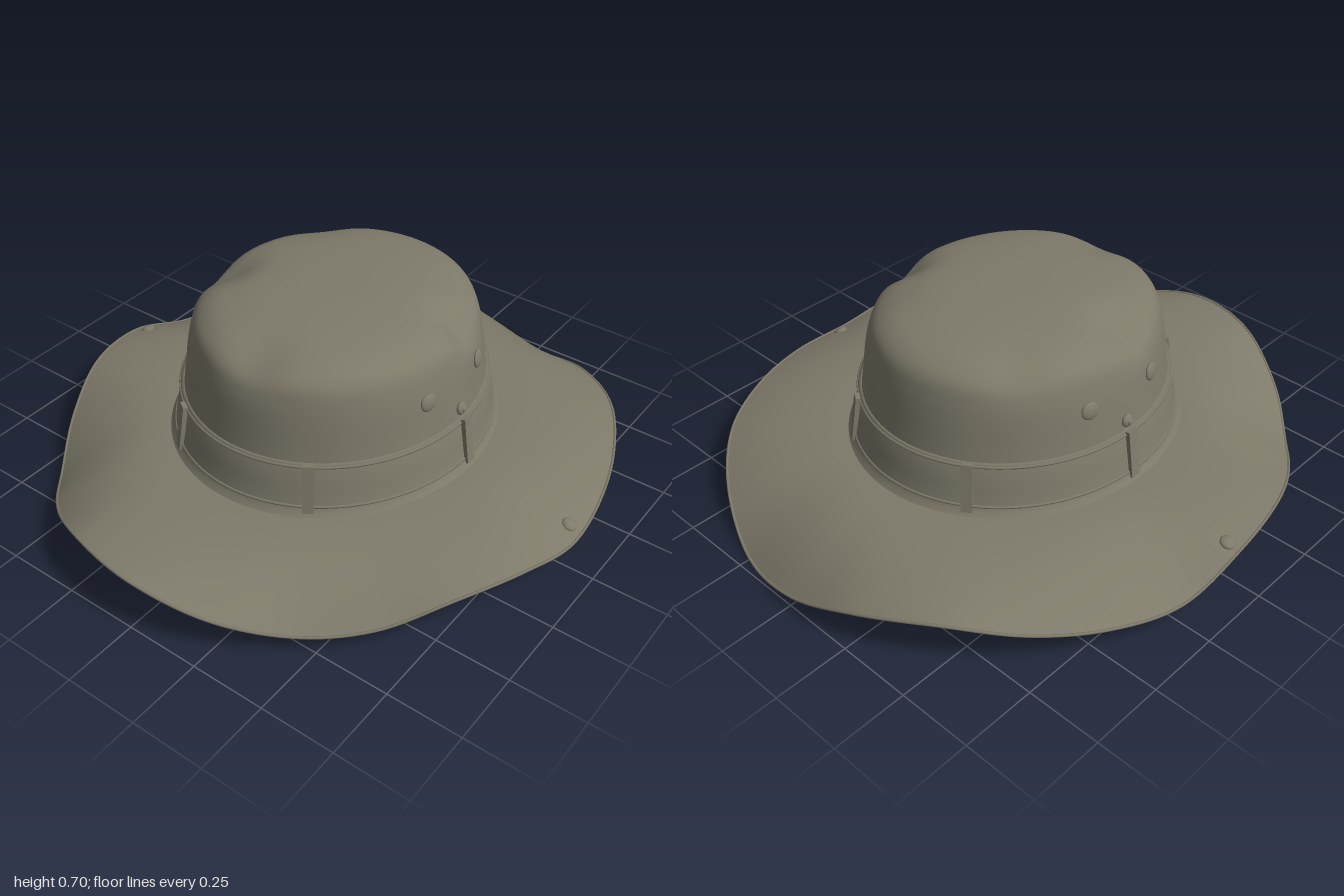
import * as THREE from 'three';

const SEG = 144;
const CENTER_Z = -0.015;
const rad = THREE.MathUtils.degToRad;

// Smooth closed surface through a list of rings (top to bottom, or inside to outside)
function loft(rings) {
  const pos = [], index = [];
  for (const ring of rings) for (const p of ring) pos.push(p.x, p.y, p.z);
  for (let i = 0; i < rings.length - 1; i++) {
    for (let j = 0; j < SEG; j++) {
      const k = (j + 1) % SEG;
      const a = i * SEG + j, b = i * SEG + k;
      index.push(a, b, a + SEG, b, b + SEG, a + SEG);
    }
  }
  const geo = new THREE.BufferGeometry();
  geo.setAttribute('position', new THREE.Float32BufferAttribute(pos, 3));
  geo.setIndex(index);
  geo.computeVertexNormals();
  return geo;
}

const makeRing = (fn) => Array.from({ length: SEG }, (_, j) => fn((j / SEG) * Math.PI * 2, j / SEG));

// Point on the tapering oval side of the crown
function wall(a, y, offset = 0) {
  const rx = 0.5 - (y - 0.21) * 0.13 + offset;
  const rz = 0.55 - (y - 0.21) * 0.155 + offset;
  return new THREE.Vector3(rx * Math.cos(a), y, CENTER_Z + rz * Math.sin(a));
}

// Wavy brim edge: radius and height every 15 degrees, from left (+x) through the front (+z)
const EDGE_R = [0.92, 0.91, 0.89, 0.885, 0.905, 0.96, 0.99, 0.98, 0.955, 0.92, 0.91, 0.915,
  0.92, 0.925, 0.94, 0.965, 0.99, 1.0, 1.0, 0.995, 0.985, 0.97, 0.94, 0.925];
const EDGE_Y = [0.11, 0.15, 0.135, 0.075, 0.07, 0.13, 0.19, 0.185, 0.1, 0.045, 0.1, 0.16,
  0.15, 0.075, 0.09, 0.13, 0.17, 0.13, 0.045, 0.012, 0.09, 0.135, 0.145, 0.13];
const edgeCurve = new THREE.CatmullRomCurve3(EDGE_R.map((r, i) => {
  const a = rad(i * 15);
  return new THREE.Vector3(r * Math.cos(a), EDGE_Y[i], r * Math.sin(a));
}), true, 'catmullrom', 0.5);

// Point on the brim, t = 0 at the crown and 1 at the edge
function brimPoint(a, u, t) {
  const edge = edgeCurve.getPoint(u);
  const p = wall(a, 0.21).lerp(edge, t);
  p.y = 0.212 - (0.212 - edge.y) * Math.pow(t, 2.2);
  return p;
}

// Soft dents in the crown: x, z, depth, width
const DENTS = [[0.4, -0.13, 0.04, 0.08], [-0.38, 0.08, 0.035, 0.09], [0.02, 0.42, 0.022, 0.1],
  [0.3, -0.3, 0.01, 0.1], [-0.3, -0.33, 0.012, 0.1]];

function crownGeometry() {
  const profile = new THREE.CatmullRomCurve3([
    [0.001, 0.705, 0.001], [0.15, 0.702, 0.16], [0.3, 0.685, 0.33], [0.39, 0.658, 0.43],
    [0.432, 0.62, 0.475], [0.452, 0.56, 0.495], [0.475, 0.4, 0.52], [0.5, 0.21, 0.55],
  ].map((p) => new THREE.Vector3(...p)));
  const rings = [];
  for (let i = 0; i <= 48; i++) {
    const s = profile.getPoint(i / 48);
    rings.push(makeRing((a) => {
      const p = new THREE.Vector3(s.x * Math.cos(a), s.y, CENTER_Z + s.z * Math.sin(a));
      const high = THREE.MathUtils.smoothstep(s.y, 0.52, 0.65);
      for (const [x, z, depth, w] of DENTS) {
        const d = depth * high * Math.exp(-((p.x - x) ** 2 + (p.z - z) ** 2) / (w * w));
        p.y -= d;
        p.x *= 1 - d * 0.5;
        p.z *= 1 - d * 0.5;
      }
      return p;
    }));
  }
  return loft(rings);
}

export function createModel() {
  const hat = new THREE.Group();
  hat.name = 'brimmedHat';
  const cloth = new THREE.MeshStandardMaterial({ color: 0x7e7a6a, side: THREE.DoubleSide });
  cloth.name = 'olive grey cloth';

  const add = (name, geo) => {
    const mesh = new THREE.Mesh(geo, cloth);
    mesh.name = name;
    hat.add(mesh);
    return mesh;
  };
  // Place a part on the crown side, its +z facing outward
  const onWall = (name, geo, a, y, offset) => {
    const mesh = add(name, geo);
    mesh.position.copy(wall(a, y, offset));
    const out = new THREE.Vector3(Math.cos(a) / 0.48, 0.28, Math.sin(a) / 0.53);
    mesh.lookAt(mesh.position.clone().add(out));
    return mesh;
  };
  const ringTube = (name, y, offset, r) => {
    const pts = Array.from({ length: 48 }, (_, i) => wall((i / 48) * Math.PI * 2, y, offset));
    add(name, new THREE.TubeGeometry(new THREE.CatmullRomCurve3(pts, true), 120, r, 6, true));
  };

  // Crown and brim
  add('crown', crownGeometry());
  const brimRings = [];
  for (let i = 0; i <= 24; i++) brimRings.push(makeRing((a, u) => brimPoint(a, u, i / 24)));
  add('brim', loft(brimRings));
  add('brimPiping', new THREE.TubeGeometry(edgeCurve, 200, 0.005, 6, true));

  // Hat band with its seams
  const bandProfile = [[0.382, 0], [0.38, 0.012], [0.3, 0.014], [0.245, 0.016], [0.225, 0.022], [0.21, 0.032]];
  add('band', loft(bandProfile.map(([y, o]) => makeRing((a) => wall(a, y, o)))));
  ringTube('bandTopSeam', 0.375, 0.012, 0.005);
  ringTube('bandBottomSeam', 0.24, 0.016, 0.005);

  // Band loops
  for (const deg of [-1, 60, 120, 181, 240, 300]) {
    onWall('bandLoop', new THREE.BoxGeometry(0.036, 0.165, 0.016), rad(deg), 0.305, 0.02);
  }

  // Vent eyelets and small side studs
  const disc = (r, h) => new THREE.SphereGeometry(r, 20, 10).scale(1, 1, h / r);
  for (const side of [0, 180]) {
    const turn = (deg) => rad(side === 0 ? deg : 180 - deg);
    for (const deg of [15.5, -17]) onWall('ventEyelet', disc(0.03, 0.01), turn(deg), 0.51, 0.003);
    onWall('sideStud', disc(0.022, 0.012), turn(-1), 0.415, 0.005);
    onWall('sideStudCap', disc(0.01, 0.008), turn(-1), 0.415, 0.014);

    // Snap button on the brim
    const a = turn(side === 0 ? -3 : -1);
    const u = ((a / (Math.PI * 2)) + 1) % 1;
    const p = brimPoint(a, u, 0.9);
    const q = brimPoint(a, u, 0.97);
    const snap = add('brimSnap', disc(0.025, 0.012));
    snap.position.copy(p);
    const slope = q.sub(p);
    const flat = Math.hypot(slope.x, slope.z);
    snap.lookAt(p.clone().add(new THREE.Vector3(-slope.x * slope.y / flat, flat, -slope.z * slope.y / flat)));
  }
  return hat;
}
